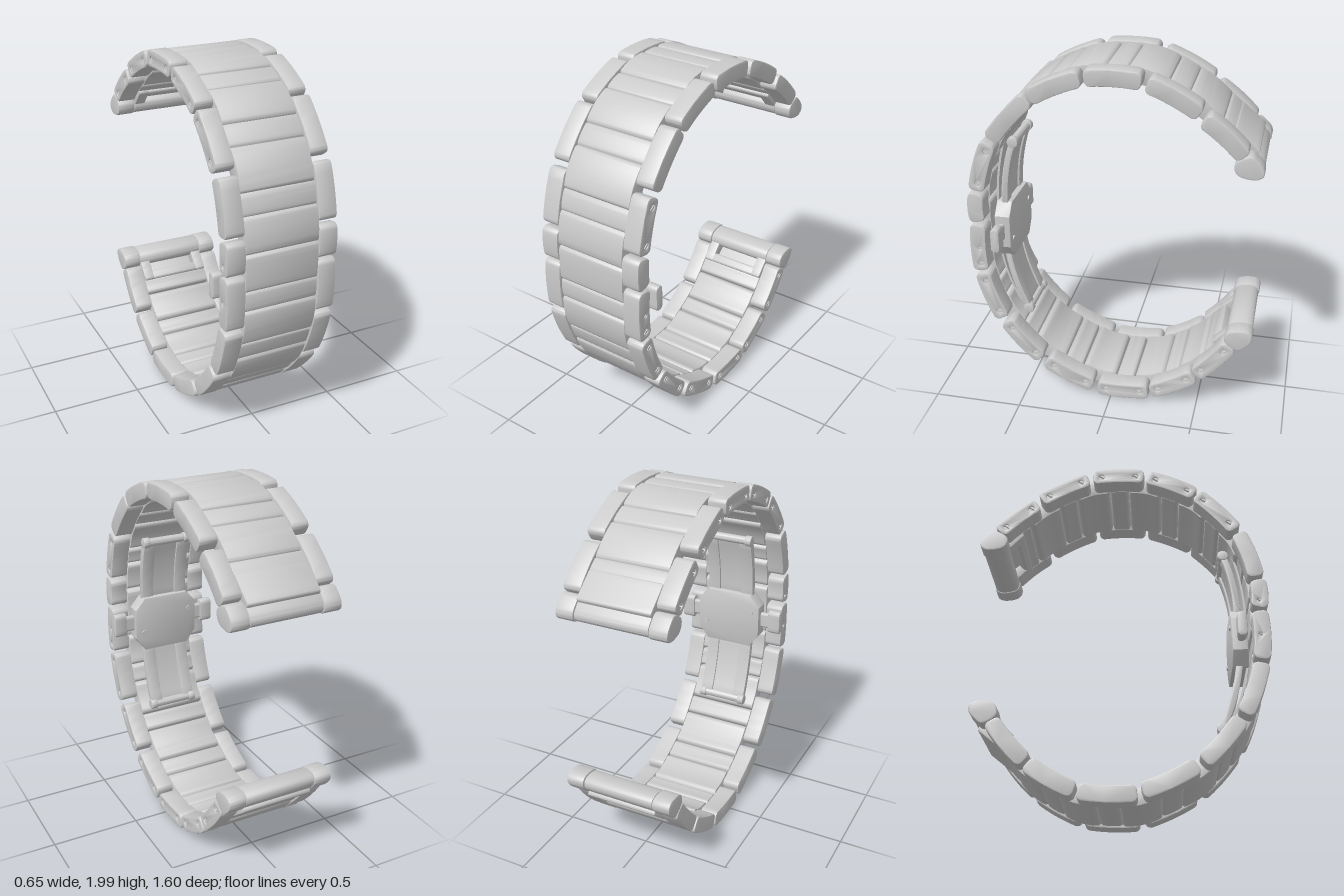
import * as THREE from 'three';
import { toCreasedNormals } from 'three/addons/utils/BufferGeometryUtils.js';

const steel = new THREE.MeshStandardMaterial({ color: 0xcccccc, side: THREE.DoubleSide });
const V = (u, v) => new THREE.Vector2(u, v);

// Side links as [start, end] of their midline in the side plane (u = -z, v = y)
const LINKS = [
  [0.69, 1.59, 0.48, 1.77], [0.46, 1.80, 0.19, 1.935], [0.165, 1.945, -0.13, 1.945],
  [-0.15, 1.94, -0.42, 1.82], [-0.43, 1.81, -0.64, 1.575], [-0.655, 1.55, -0.74, 1.27],
  [-0.742, 1.25, -0.744, 1.08], [-0.744, 1.06, -0.742, 0.775], [-0.74, 0.755, -0.635, 0.47],
  [-0.615, 0.445, -0.415, 0.22], [-0.385, 0.20, -0.105, 0.07], [-0.08, 0.06, 0.22, 0.072],
  [0.235, 0.08, 0.48, 0.22], [0.49, 0.235, 0.675, 0.455],
].map(([a, b, c, d]) => [V(a, b), V(c, d)]);

const along = (link, t) => link[0].clone().lerp(link[1], t);
const outward = (a, b) => V(b.y - a.y, a.x - b.x).normalize();
const middle = (a, b, lift = 0) => a.clone().lerp(b, 0.5).addScaledVector(outward(a, b), lift);

// Bar outline that follows a bent midline, with rounded corners
function barShape(a, ctrl, b, thick, r = 0.03) {
  const curve = new THREE.QuadraticBezierCurve(a, ctrl, b);
  const len = curve.getLength();
  const steps = [];
  for (let i = 0; i <= 6; i++) {
    const q = (i / 6) * Math.PI / 2;
    steps.push([r * (1 - Math.cos(q)) / len, thick / 2 - r + r * Math.sin(q)]);
  }
  const tail = steps.map(([s, h]) => [1 - s, h]).reverse();
  for (let i = 1; i < 7; i++) steps.push([r / len + (1 - 2 * r / len) * i / 7, thick / 2]);
  steps.push(...tail);
  const edge = (side) => steps.map(([s, h]) => {
    const t = curve.getTangentAt(s);
    return curve.getPointAt(s).add(V(t.y, -t.x).multiplyScalar(h * side));
  });
  return new THREE.Shape([...edge(1), ...edge(-1).reverse()]);
}

function addMesh(parent, name, geometry) {
  const mesh = new THREE.Mesh(toCreasedNormals(geometry, 0.6), steel);
  mesh.name = name;
  parent.add(mesh);
  return mesh;
}

// Side-plane outline extruded across the band from x0 to x1
function across(parent, name, shape, x0, x1, bevel = 0.007) {
  const geo = new THREE.ExtrudeGeometry(shape, {
    depth: x1 - x0 - 2 * bevel, bevelEnabled: bevel > 0, bevelSize: bevel,
    bevelThickness: bevel, bevelOffset: -bevel, bevelSegments: 2, curveSegments: 16,
  });
  geo.translate(0, 0, x0 + bevel).rotateY(Math.PI / 2);
  return addMesh(parent, name, geo);
}

function disc(c, r, a0 = 0, a1 = Math.PI * 2) {
  return new THREE.Shape().absarc(c.x, c.y, r, a0, a1, false);
}

// Slotted screw sunk in the side of a link
function addScrew(parent, c, side, r) {
  const span = (a, b) => (side > 0 ? [a, b] : [-b, -a]);
  across(parent, 'screwBase', disc(c, r), ...span(0.26, 0.292), 0);
  for (const turn of [0.6, 0.6 + Math.PI]) {
    across(parent, 'screwHead', disc(c, r * 0.92, turn + 0.2, turn + Math.PI - 0.2), ...span(0.285, 0.305), 0);
  }
}

function screwSpots(i) {
  if (i === 6) return [[0.75, -1, 0.015]];
  if (i === 7) return [[0.5, 1, 0.015], [0.84, 1, 0.021], [0.5, -1, 0.015]];
  const side = i < 5 ? -1 : 1;
  return [[0.17, side, 0.021], [0.83, side, 0.021]];
}

function addLinks(parent) {
  LINKS.forEach((link, i) => {
    const [a, b] = link;
    const spots = screwSpots(i).map(([t, side, r]) => ({ c: along(link, t), side, r }));
    for (const side of [-1, 1]) {
      const shape = barShape(a, middle(a, b, 0.02), b, 0.092);
      for (const s of spots.filter((p) => p.side === side)) {
        shape.holes.push(new THREE.Path().absarc(s.c.x, s.c.y, s.r - 0.005, 0, Math.PI * 2, true));
        addScrew(parent, s.c, side, s.r);
      }
      across(parent, 'sideLink', shape, side > 0 ? 0.208 : -0.31, side > 0 ? 0.31 : -0.208);
    }
    // Short middle bridge of the link
    if (i !== 6) {
      const p = along(link, 0.31), q = along(link, 0.69);
      across(parent, 'bridge', barShape(p, middle(p, q, 0.012), q, 0.08, 0.02), -0.206, 0.206, 0.004);
    }
    // Long middle link over the joint to the next side link
    const next = LINKS[i + 1];
    if (next) {
      const p = along(link, i === 6 ? 0.46 : 0.69), q = along(next, i === 5 ? 0.44 : 0.31);
      const joint = middle(b, next[0], 0.012);
      across(parent, 'middleLink', barShape(p, joint, q, 0.09, 0.025), -0.205, 0.205, 0.004);
    }
  });
}

// End bar with caps and an inner pocket; the lower end mirrors the upper one
function addEnd(parent, name, lower) {
  const group = new THREE.Group();
  group.name = name;
  const flip = (u, v) => V(u, lower ? 2.035 - v : v);
  const outline = (k) => new THREE.Shape(new THREE.CatmullRomCurve3(
    [[0.648, 1.555], [0.72, 1.598], [0.76, 1.572], [0.793, 1.53], [0.793, 1.495], [0.76, 1.473], [0.67, 1.485], [0.646, 1.515]]
      .map(([u, v]) => flip(0.72 + (u - 0.72) * k, 1.535 + (v - 1.535) * k))
      .map((p) => new THREE.Vector3(p.x, p.y, 0)), true).getPoints(40).slice(0, -1).map((p) => V(p.x, p.y)));
  across(group, 'endCap', outline(1), 0.208, 0.31);
  across(group, 'endCap', outline(1), -0.31, -0.208);
  across(group, 'endBar', outline(0.93), -0.205, 0.205, 0.004);
  // Outer panel, with cheeks and a rib round the pocket
  const bar = (u0, v0, u1, v1, t, n, x0, x1) => {
    const p = flip(u0, v0), q = flip(u1, v1);
    across(group, n, barShape(p, middle(p, q), q, t, 0.015), x0, x1, 0.004);
  };
  bar(0.75, 1.575, 0.61, 1.69, 0.05, 'endPanel', -0.205, 0.205);
  for (const s of [-1, 1]) bar(0.72, 1.53, 0.595, 1.66, 0.085, 'pocketCheek', s * 0.175 - 0.03, s * 0.175 + 0.03);
  bar(0.635, 1.62, 0.595, 1.66, 0.085, 'pocketRib', -0.16, 0.16);
  parent.add(group);
}

function addClasp(parent) {
  const clasp = new THREE.Group();
  clasp.name = 'foldingClasp';
  // Eight-sided centre body
  const plate = new THREE.Shape([[0.2, 0.88], [0.2, 1.07], [0.14, 1.14], [-0.14, 1.14],
    [-0.2, 1.07], [-0.2, 0.88], [-0.14, 0.8], [0.14, 0.8]].map(([x, y]) => V(x, y)));
  const body = new THREE.ExtrudeGeometry(plate, { depth: 0.078, bevelSize: 0.006, bevelThickness: 0.006, bevelOffset: -0.006, bevelSegments: 2 });
  addMesh(clasp, 'claspBody', body.translate(0, 0, 0.602));
  for (const [x, y] of [[0.15, 0.92], [-0.15, 1.03]]) {
    const pin = addMesh(clasp, 'bodyPin', new THREE.CylinderGeometry(0.014, 0.014, 0.01, 20));
    pin.rotation.x = Math.PI / 2;
    pin.position.set(x, y, 0.594);
  }
  // Curved arms: two rails, a sunken strip, an end roller and a thin outer blade
  const arms = [
    { root: V(-0.638, 1.12), bend: V(-0.64, 1.32), tip: V(-0.575, 1.5), blade: [V(-0.685, 1.1), V(-0.682, 1.33), V(-0.62, 1.53)] },
    { root: V(-0.638, 0.83), bend: V(-0.615, 0.63), tip: V(-0.53, 0.45), blade: [V(-0.685, 0.85), V(-0.665, 0.66), V(-0.575, 0.49)] },
  ];
  for (const { root, bend, tip, blade } of arms) {
    for (const s of [-1, 1]) {
      across(clasp, 'armRail', barShape(root, bend, tip, 0.036, 0.012), s * 0.108 - 0.037, s * 0.108 + 0.037, 0.004);
      across(clasp, 'rollerCap', disc(tip, 0.031), s * 0.13 - 0.02, s * 0.13 + 0.02, 0.005);
    }
    across(clasp, 'armStrip', barShape(root, bend, tip, 0.014, 0.005), -0.08, 0.08, 0);
    across(clasp, 'roller', disc(tip, 0.024), -0.12, 0.12, 0);
    across(clasp, 'outerBlade', barShape(...blade, 0.012, 0.004), -0.13, 0.13, 0);
  }
  // Push buttons on both sides
  const a = V(-0.647, 0.905), b = V(-0.647, 1.05);
  for (const s of [-1, 1]) {
    const span = (p, q) => (s > 0 ? [p, q] : [-q, -p]);
    across(clasp, 'pushButton', barShape(a, middle(a, b), b, 0.052, 0.024), ...span(0.25, 0.327), 0.008);
    const c = V(-0.647, 0.93), d = V(-0.647, 1.025);
    across(clasp, 'buttonStem', barShape(c, middle(c, d), d, 0.034, 0.012), ...span(0.19, 0.26), 0);
  }
  parent.add(clasp);
}

export function createModel() {
  const model = new THREE.Group();
  model.name = 'linkBracelet';
  const band = new THREE.Group();
  band.name = 'band';
  model.add(band);
  addLinks(band);
  addEnd(model, 'upperEnd', false);
  addEnd(model, 'lowerEnd', true);
  addClasp(model);
  return model;
}
